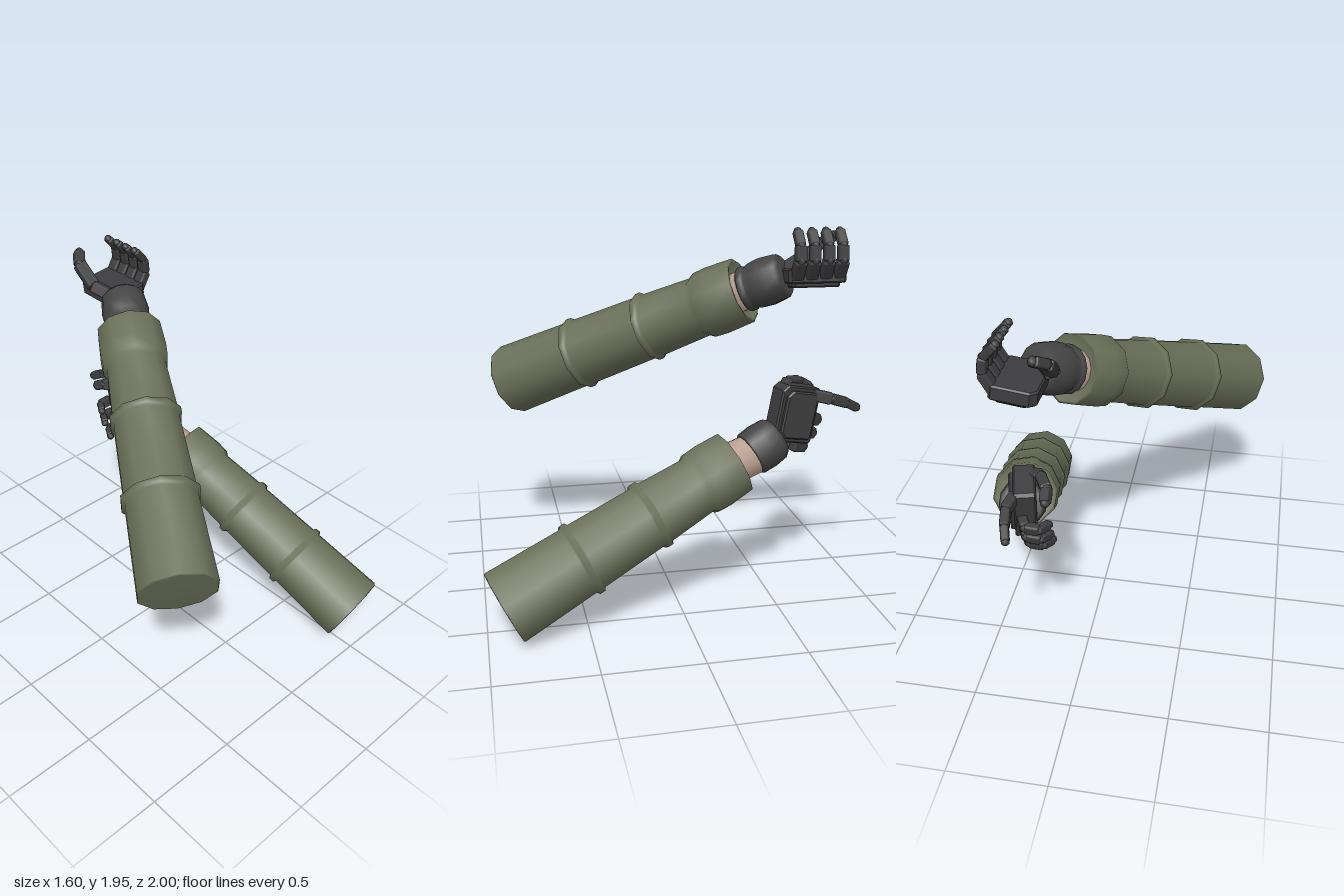
import * as THREE from 'three';
import { RoundedBoxGeometry } from 'three/addons/geometries/RoundedBoxGeometry.js';

const mat = (name, color, extra = {}) => {
  const m = new THREE.MeshStandardMaterial({ color, ...extra });
  m.name = name;
  return m;
};
const V = (p) => new THREE.Vector3(...p);

export function createModel() {
  const olive = mat('olive cloth', 0x6b7159);
  const rubber = mat('dark glove cuff', 0x454546);
  const armour = mat('charcoal glove', 0x3d3d3f);
  const skin = mat('skin', 0xc2a697);
  const model = new THREE.Group();

  // Turned part whose profile [radius, height] runs from point a towards b
  function turned(parent, name, material, a, b, profile, sides) {
    const dir = V(b).sub(V(a)).normalize();
    const mesh = new THREE.Mesh(
      new THREE.LatheGeometry(profile.map(([r, h]) => new THREE.Vector2(r, h)), sides), material);
    mesh.position.copy(V(a));
    mesh.quaternion.setFromUnitVectors(new THREE.Vector3(0, 1, 0), dir);
    mesh.name = name;
    parent.add(mesh);
  }

  // Padded sleeve: tapered tube, two raised bands and a wide cuff
  function sleeve(parent, a, b) {
    const L = V(a).distanceTo(V(b));
    const radius = (t) => 0.2 - 0.042 * t;
    const profile = [[0, 0], [0.195, 0], [0.2, 0.006]];
    for (const t of [0.325, 0.625]) {
      const r = radius(t), h = t * L;
      profile.push([r, h - 0.024], [r + 0.016, h - 0.014], [r + 0.016, h + 0.014], [r, h + 0.024]);
    }
    profile.push([0.16, L * 0.83], [0.178, L * 0.85], [0.182, L * 0.9], [0.174, L], [0.16, L], [0.11, L - 0.03], [0, L - 0.03]);
    turned(parent, 'sleeve', olive, a, b, profile, 10);
  }

  // Box segments along a path, with a round joint at each bend
  function digit(parent, name, points, side, width, thick) {
    const g = new THREE.Group();
    g.name = name;
    for (let i = 0; i < points.length - 1; i++) {
      const a = V(points[i]), b = V(points[i + 1]);
      const x = b.clone().sub(a), len = x.length();
      x.normalize();
      const y = V(side).cross(x).normalize();
      const z = x.clone().cross(y);
      const k = 1 - i * 0.1;
      const seg = new THREE.Mesh(new RoundedBoxGeometry(len + 0.006, thick * k, width * k, 1, 0.011), armour);
      seg.quaternion.setFromRotationMatrix(new THREE.Matrix4().makeBasis(x, y, z));
      seg.position.copy(a).add(b).multiplyScalar(0.5);
      seg.name = name + 'Segment';
      const joint = new THREE.Mesh(new THREE.SphereGeometry(thick * k * 0.52, 8, 6), armour);
      joint.position.copy(b);
      joint.name = name + 'Joint';
      g.add(seg, joint);
    }
    parent.add(g);
  }

  // Palm block with chamfered corners and a raised plate on the back of the hand
  function palm(parent, center, forward, normal, length, thick, width) {
    const g = new THREE.Group();
    g.name = 'palm';
    const slab = (name, l, t, w, y) => {
      const c = 0.03, s = new THREE.Shape();
      s.moveTo(-l / 2 + c, -w / 2);
      [[l / 2 - c / 2, -w / 2], [l / 2, -w / 2 + c / 2], [l / 2, w / 2 - c / 2], [l / 2 - c / 2, w / 2],
        [-l / 2 + c, w / 2], [-l / 2, w / 2 - c], [-l / 2, -w / 2 + c]].forEach((p) => s.lineTo(...p));
      const geo = new THREE.ExtrudeGeometry(s, {
        depth: t - 0.016, bevelEnabled: true, bevelSize: 0.008, bevelThickness: 0.008, bevelOffset: -0.008, bevelSegments: 1 });
      geo.translate(0, 0, -(t - 0.016) / 2).rotateX(-Math.PI / 2);
      const m = new THREE.Mesh(geo, armour);
      m.position.y = y;
      m.name = name;
      g.add(m);
    };
    slab('palmBlock', length, thick, width, 0);
    slab('backPlate', length * 0.8, 0.03, width * 0.84, -thick / 2 - 0.006);
    const x = V(forward).normalize();
    const z = x.clone().cross(V(normal)).normalize();
    const y = z.clone().cross(x);
    g.quaternion.setFromRotationMatrix(new THREE.Matrix4().makeBasis(x, y, z));
    g.position.copy(V(center));
    parent.add(g);
  }

  // Upper arm: open hand with the palm facing up
  const upper = new THREE.Group();
  upper.name = 'upperArm';
  sleeve(upper, [-0.645, 1.01, 0.78], [0.095, 1.61, -0.395]);
  turned(upper, 'wrist', skin, [0.06, 1.58, -0.34], [0.13, 1.635, -0.45],
    [[0, 0], [0.105, 0], [0.105, 0.11], [0, 0.11]], 14);
  turned(upper, 'gloveCuff', rubber, [0.1, 1.612, -0.4], [0.215, 1.705, -0.585],
    [[0, 0], [0.112, 0], [0.12, 0.008], [0.12, 0.034], [0.108, 0.04], [0.122, 0.07], [0.128, 0.13], [0.118, 0.215], [0.1, 0.235], [0, 0.235]], 14);
  palm(upper, [0.25, 1.7, -0.71], [1, 0.12, 0.03], [0, 1, 0], 0.22, 0.075, 0.3);
  for (let i = 0; i < 4; i++) {
    const z = -0.602 - i * 0.073;
    digit(upper, 'finger', [[0.335, 1.7, z], [0.388, 1.79, z], [0.38, 1.865, z], [0.322, 1.93, z]], [0, 0, 1], 0.064, 0.05);
  }
  digit(upper, 'thumb', [[0.17, 1.71, -0.58], [0.11, 1.76, -0.7], [0.105, 1.85, -0.81], [0.15, 1.888, -0.865]],
    [0.6, -0.4, 0.6], 0.075, 0.06);
  model.add(upper);

  // Lower arm: hand on edge, index finger pointing and the others curled
  const lower = new THREE.Group();
  lower.name = 'lowerArm';
  sleeve(lower, [0.59, 0.18, 0.915], [0.38, 0.77, -0.28]);
  turned(lower, 'wrist', skin, [0.385, 0.755, -0.24], [0.355, 0.815, -0.42],
    [[0, 0], [0.11, 0], [0.107, 0.18], [0, 0.18]], 14);
  turned(lower, 'gloveCuff', rubber, [0.36, 0.8, -0.375], [0.33, 0.89, -0.54],
    [[0, 0], [0.112, 0], [0.12, 0.008], [0.125, 0.08], [0.118, 0.15], [0.1, 0.175], [0, 0.175]], 14);
  palm(lower, [0.285, 0.99, -0.622], [-0.25, -0.2, -0.95], [-1, 0, 0.25], 0.235, 0.11, 0.3);
  digit(lower, 'indexFinger', [[0.305, 1.085, -0.73], [0.325, 1.065, -0.82], [0.31, 1.035, -0.91], [0.29, 1.0, -0.975]],
    [0, 1, -0.3], 0.062, 0.052);
  for (let i = 0; i < 3; i++) {
    const y = 0.935 - i * 0.072, s = 0.012 * i + 0.012 * i * i;
    digit(lower, 'curledFinger', [[0.29, y + 0.02, -0.7 + s], [0.25, y, -0.775 + s], [0.18, y - 0.005, -0.775 + s], [0.145, y - 0.01, -0.72 + s]],
      [0, 1, -0.2], 0.062, 0.05);
  }
  digit(lower, 'thumb', [[0.29, 1.09, -0.56], [0.2, 1.13, -0.62], [0.155, 1.12, -0.7], [0.15, 1.085, -0.76]],
    [0.3, 1, 0], 0.07, 0.062);
  model.add(lower);

  return model;
}
